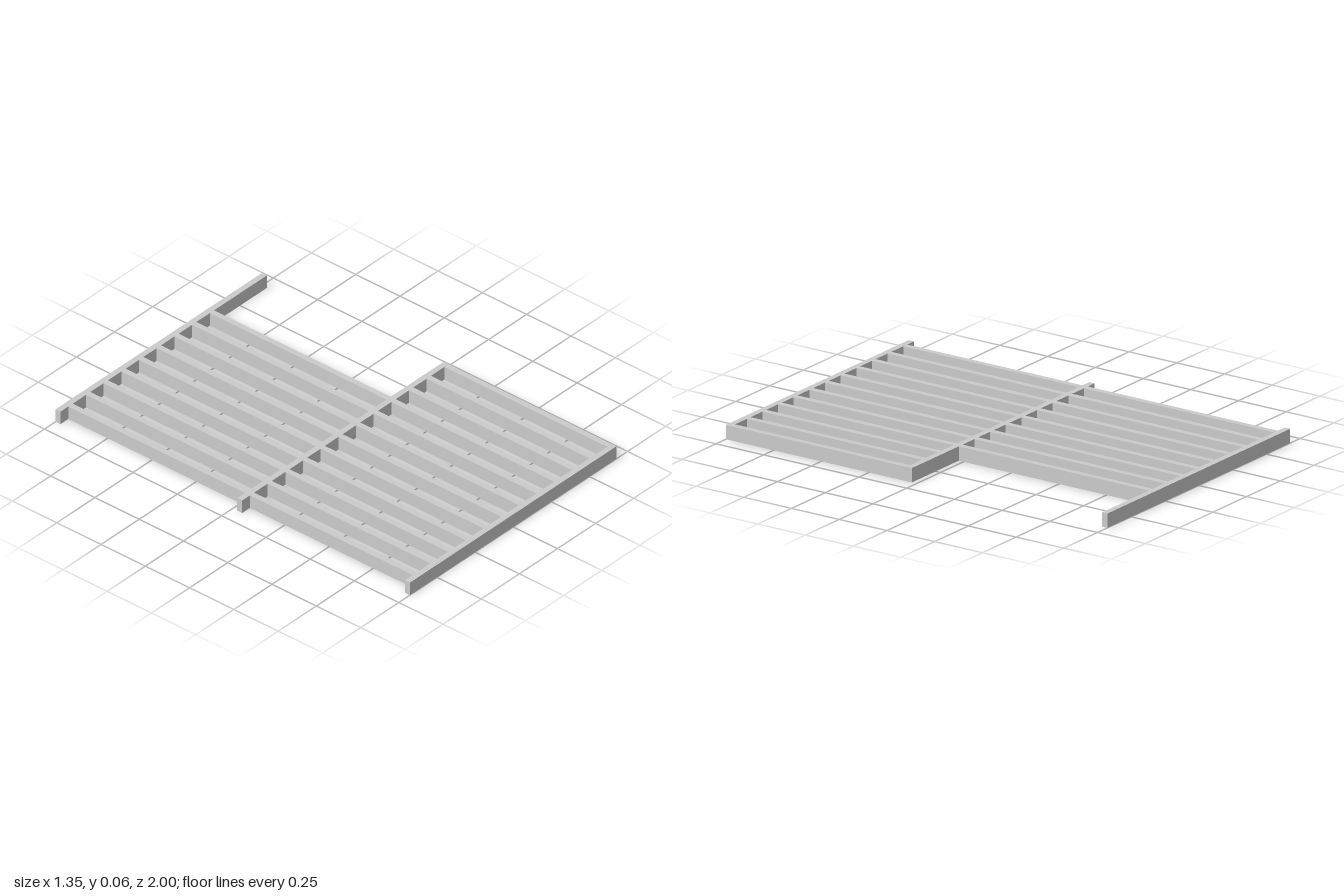
import * as THREE from 'three';

const HEIGHT = 0.065;  // depth of every board
const THICK = 0.028;   // board thickness
const HALF_W = 0.677;  // half length of the rails
const PITCH = 0.1159;  // joist spacing

export function createModel() {
  const model = new THREE.Group();
  model.name = 'floorFrame';
  const material = new THREE.MeshStandardMaterial({ color: 0xcccccc, flatShading: true });

  // A board standing on the ground between the given limits
  const board = (name, x0, x1, z0, z1) => {
    const mesh = new THREE.Mesh(new THREE.BoxGeometry(x1 - x0, HEIGHT, z1 - z0), material);
    mesh.position.set((x0 + x1) / 2, HEIGHT / 2, (z0 + z1) / 2);
    mesh.name = name;
    model.add(mesh);
  };

  // Three long cross rails
  const rails = { backRail: -1, middleRail: 0.025, frontRail: 1 - THICK };
  for (const [name, z] of Object.entries(rails)) board(name, -HALF_W, HALF_W, z, z + THICK);

  // Joists butt between the rails: twelve in the front bay, nine in the back bay
  const joists = (name, count, z0, z1) => {
    for (let i = 0; i < count; i++) {
      const right = HALF_W - (11 - i) * PITCH;
      board(name + (i + 1), right - THICK, right, z0, z1);
    }
  };
  joists('frontJoist', 12, rails.middleRail + THICK, rails.frontRail);
  joists('backJoist', 9, rails.backRail + THICK, rails.middleRail);

  return model;
}
